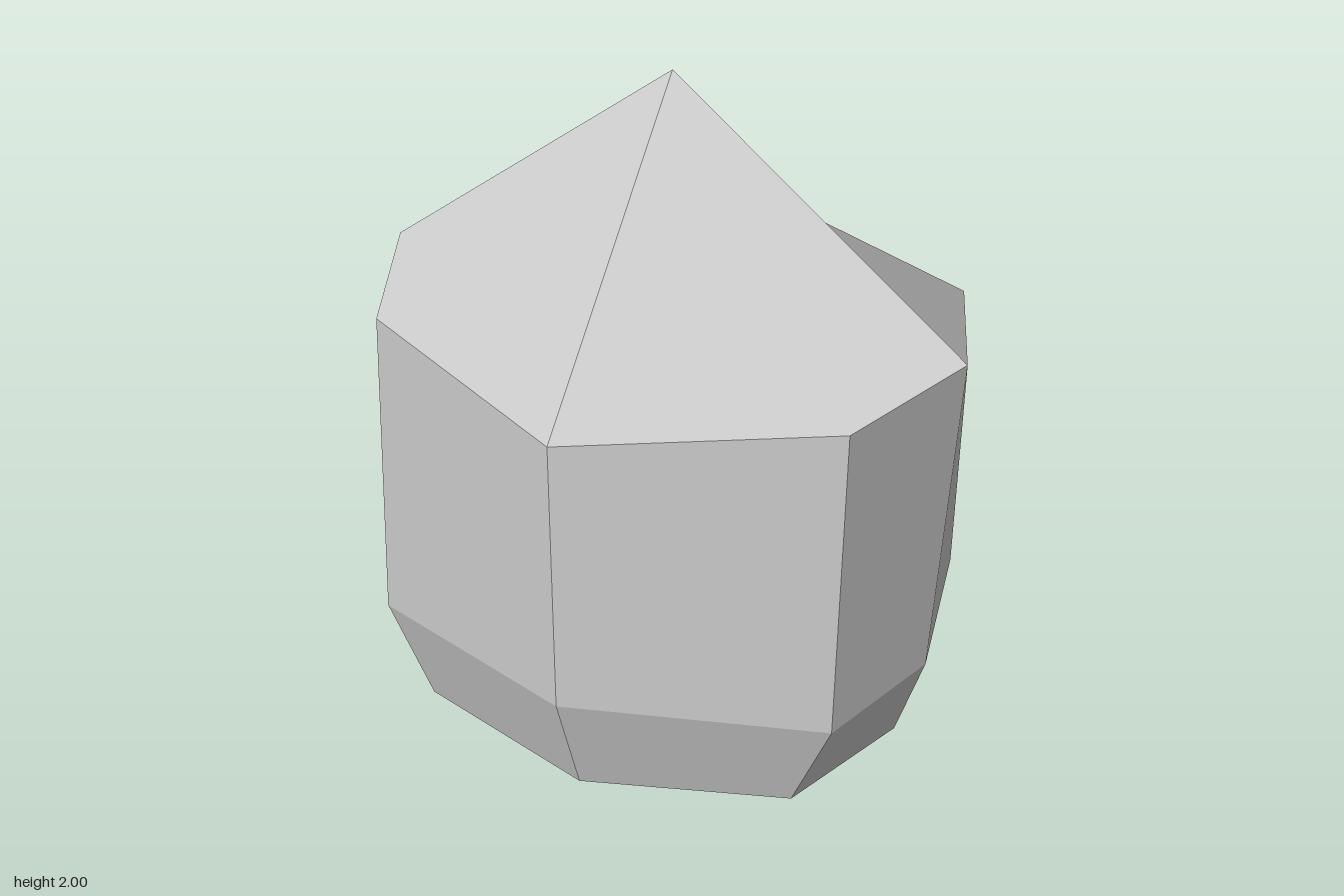
import * as THREE from 'three';

// Each cross-section: side (x, y), corner (x, y, z), front (y, z)
const SECTIONS = [
  { side: [0.60, 0.0], corner: [0.47, 0.01, 0.345], front: [0.012, 0.505] },
  { side: [0.715, 0.037], corner: [0.575, 0.048, 0.435], front: [0.045, 0.617] },
  { side: [0.80, 0.297], corner: [0.70, 0.34, 0.46], front: [0.40, 0.745] },
  { side: [0.87, 1.31], corner: [0.705, 1.283, 0.42], front: [1.25, 0.757] },
];

// Mirror one quarter into an eight-point ring running from +x towards +z
function makeRing({ side, corner, front }) {
  const [cx, cy, cz] = corner;
  return [
    [side[0], side[1], 0], [cx, cy, cz], [0, front[0], front[1]], [-cx, cy, cz],
    [-side[0], side[1], 0], [-cx, cy, -cz], [0, front[0], -front[1]], [cx, cy, -cz],
  ].map((p) => new THREE.Vector3(...p));
}

// Polygons become triangle fans; every polygon has one averaged flat normal
function polygonGeometry(polygons) {
  const positions = [];
  const normals = [];
  for (const poly of polygons) {
    const normal = new THREE.Vector3();
    poly.forEach((p, i) => {
      normal.add(new THREE.Vector3().crossVectors(p, poly[(i + 1) % poly.length]));
    });
    normal.normalize();
    for (let i = 1; i < poly.length - 1; i++) {
      for (const p of [poly[0], poly[i], poly[i + 1]]) {
        positions.push(p.x, p.y, p.z);
        normals.push(normal.x, normal.y, normal.z);
      }
    }
  }
  const geometry = new THREE.BufferGeometry();
  geometry.setAttribute('position', new THREE.Float32BufferAttribute(positions, 3));
  geometry.setAttribute('normal', new THREE.Float32BufferAttribute(normals, 3));
  return geometry;
}

export function createModel() {
  const group = new THREE.Group();
  group.name = 'facetedStone';
  const grey = new THREE.MeshStandardMaterial({ color: 0xcccccc });
  grey.name = 'light grey';

  const add = (name, polygons) => {
    const mesh = new THREE.Mesh(polygonGeometry(polygons), grey);
    mesh.name = name;
    group.add(mesh);
  };

  const rings = SECTIONS.map(makeRing);

  // Flat underside
  add('base', [rings[0]]);

  // Bands of eight facets: bottom bevel, tapered foot, tall walls
  ['bottomBevel', 'foot', 'walls'].forEach((name, k) => {
    const low = rings[k];
    const high = rings[k + 1];
    add(name, low.map((p, i) => {
      const n = (i + 1) % 8;
      return [p, high[i], high[n], low[n]];
    }));
  });

  // Pointed top: four facets, each spanning two wall tops
  const apex = new THREE.Vector3(0, 2, 0);
  const rim = rings[3];
  add('pointedTop', [0, 2, 4, 6].map((i) => [rim[i], apex, rim[(i + 2) % 8], rim[i + 1]]));

  return group;
}
